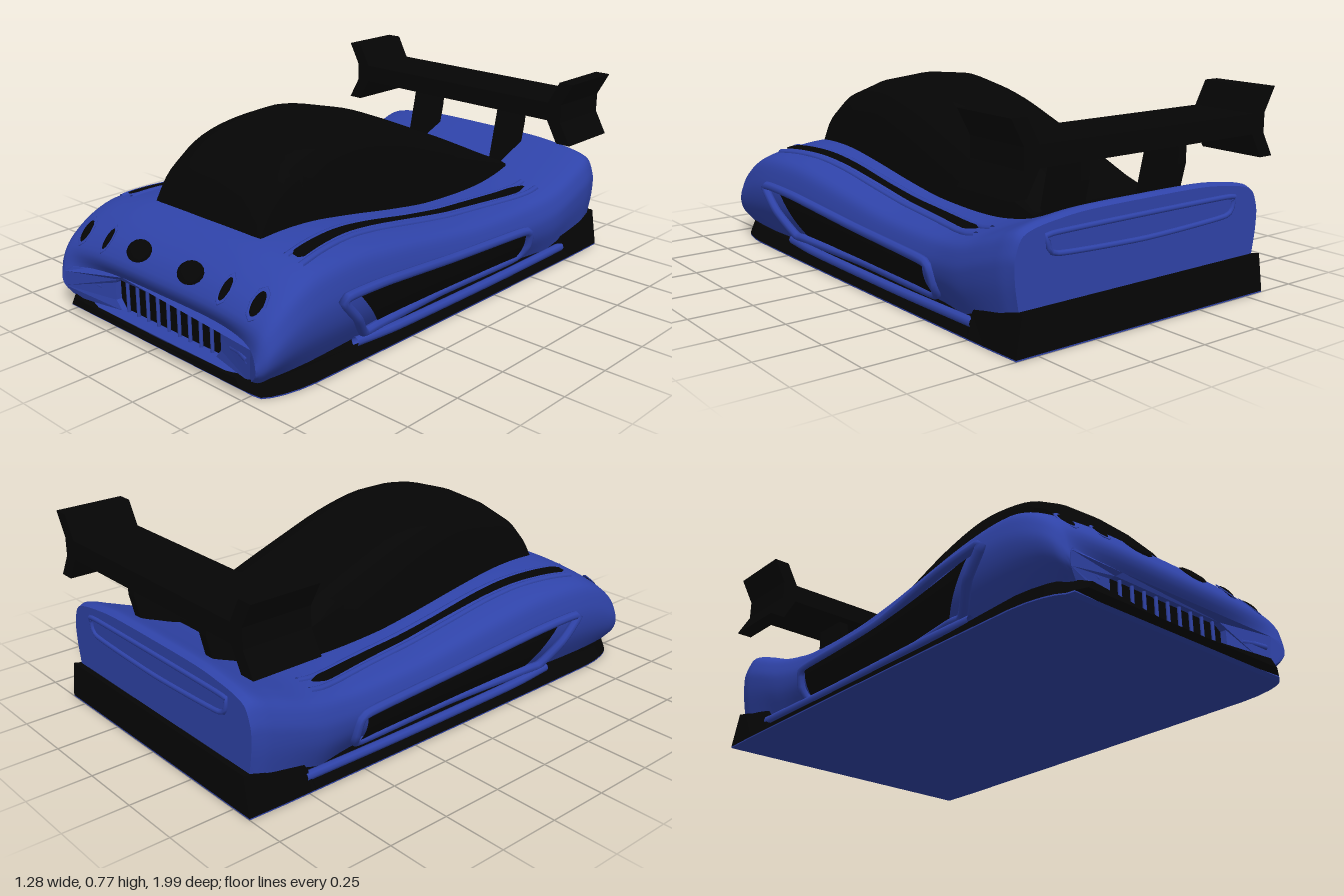
import * as THREE from 'three';
import { toCreasedNormals } from 'three/addons/utils/BufferGeometryUtils.js';

const blue = new THREE.MeshStandardMaterial({ color: 0x2f43a8, side: THREE.DoubleSide });
const black = new THREE.MeshStandardMaterial({ color: 0x050505, side: THREE.DoubleSide });

// Smooth function through [t, value] knots (t ascending)
function curve(k) {
  const slope = i => {
    const a = k[Math.max(i - 1, 0)], b = k[Math.min(i + 1, k.length - 1)];
    return (b[1] - a[1]) / (b[0] - a[0]);
  };
  return t => {
    t = Math.min(Math.max(t, k[0][0]), k[k.length - 1][0]);
    let i = 0;
    while (i < k.length - 2 && t > k[i + 1][0]) i++;
    const d = k[i + 1][0] - k[i][0], s = (t - k[i][0]) / d, q = s * s, c = q * s;
    return (2 * c - 3 * q + 1) * k[i][1] + (c - 2 * q + s) * d * slope(i)
      + (3 * q - 2 * c) * k[i + 1][1] + (c - q) * d * slope(i + 1);
  };
}

// The front curves inward at the middle, more so under the nose
const bow = (x, z, amount) => z - Math.max(0, z - 0.9) / 0.08 * Math.max(0, 1 - (x / 0.55) ** 4) * amount;
const noseBow = (x, y, z) => bow(x, z, 0.075 - 0.06 * THREE.MathUtils.smoothstep(y, 0.16, 0.26));
const skirtBow = (x, y, z) => bow(x, z, 0.025);

// Closed loft along z; half(z) gives [x, y] from top centre to bottom right
function loft(half, zs, { crease = 0.7, bend = (x, y, z) => z, frontCap = true } = {}) {
  const pos = [], idx = [];
  let n = 0;
  for (const z of zs) {
    const h = half(z), ring = [...h.slice(1).reverse().map(([x, y]) => [-x, y]), ...h];
    n = ring.length;
    ring.forEach(([x, y]) => pos.push(x, y, bend(x, y, z)));
  }
  for (let i = 0; i < zs.length - 1; i++) for (let j = 0; j < n; j++) {
    const a = i * n + j, b = i * n + (j + 1) % n;
    idx.push(a, a + n, b, b, a + n, b + n);
  }
  (frontCap ? [0, zs.length - 1] : [0]).forEach((row, end) => {
    const o = row * n, c = pos.length / 3, y = (pos[o * 3 + 1] + pos[(o + (n >> 1)) * 3 + 1]) / 2;
    pos.push(0, y, bend(0, y, zs[row]));
    for (let j = 0; j < n; j++) {
      const a = o + j, b = o + (j + 1) % n;
      end ? idx.push(c, b, a) : idx.push(c, a, b);
    }
  });
  const g = new THREE.BufferGeometry();
  g.setAttribute('position', new THREE.Float32BufferAttribute(pos, 3));
  g.setIndex(idx);
  return toCreasedNormals(g, crease);
}

// Surface patch from f(u, v) => [x, y, z]
function patch(f, nu, nv) {
  const g = new THREE.PlaneGeometry(1, 1, nu, nv), p = g.attributes.position;
  for (let i = 0; i < p.count; i++) p.setXYZ(i, ...f(p.getX(i) + 0.5, p.getY(i) + 0.5));
  g.computeVertexNormals();
  return g;
}
const spaced = (a, b, n) => Array.from({ length: n + 1 }, (_, i) => (a + b) / 2 - (b - a) / 2 * Math.cos(Math.PI * i / n));
const tube = (pts, r, seg, closed = false) => new THREE.TubeGeometry(
  new THREE.CatmullRomCurve3(pts.map(p => new THREE.Vector3(...p)), closed, 'catmullrom', 0.3), seg, r, 8, closed);
const points = list => list.map(p => new THREE.Vector2(...p));
const slab = (shape, depth) => new THREE.ExtrudeGeometry(shape, { depth, bevelEnabled: false });

// Body shape rules
const roof = curve([[-0.97, 0.44], [-0.94, 0.45], [-0.85, 0.415], [-0.7, 0.36], [-0.5, 0.33], [-0.2, 0.335], [0, 0.36],
  [0.3, 0.41], [0.5, 0.435], [0.7, 0.432], [0.8, 0.4], [0.89, 0.335], [0.95, 0.265], [0.98, 0.19]]);
const width = curve([[-0.97, 0.575], [-0.9, 0.59], [-0.7, 0.592], [-0.5, 0.572], [0, 0.568], [0.4, 0.583],
  [0.7, 0.6], [0.88, 0.6], [0.95, 0.585], [0.98, 0.55]]);
const floor = curve([[-0.97, 0.145], [-0.77, 0.095], [-0.65, 0.055], [-0.3, 0.04], [0.6, 0.035], [0.98, 0.035]]);
const profile = new THREE.SplineCurve(points([[0, 1], [0.25, 1], [0.5, 0.99], [0.67, 0.96], [0.83, 0.915], [0.94, 0.84],
  [0.985, 0.68], [1, 0.5], [0.97, 0.28], [0.87, 0]])).getPoints(36);
// The lower flank stands more upright towards the tail
const upright = curve([[-0.97, 0.75], [-0.75, 0.6], [-0.5, 0.1], [-0.3, 0], [0.98, 0]]);
const bodyHalf = z => profile.map(p => [
  (p.y < 0.5 ? p.x + (1 - p.x) * upright(z) : p.x) * width(z), floor(z) + p.y * (roof(z) - floor(z))]);

// Heights, side and front positions on the body surface
function topY(x, z) {
  const h = bodyHalf(z);
  for (let i = 1; i < h.length; i++) if (h[i][0] >= Math.abs(x)) {
    const [a, b] = [h[i - 1], h[i]];
    return a[1] + (b[1] - a[1]) * (Math.abs(x) - a[0]) / (b[0] - a[0]);
  }
  return 0;
}
function sideX(y, z) {
  const h = bodyHalf(z);
  const i = h.findIndex((p, k) => k > 0 && p[1] <= y);
  if (i < 0) return h[h.length - 1][0];
  const [a, b] = [h[i - 1], h[i]];
  return a[0] + (b[0] - a[0]) * (a[1] - y) / (a[1] - b[1] || 1);
}
function frontZ(x, y) {
  let z = 0.98;
  while (z > 0.5 && topY(x, z) < y) z -= 0.004;
  return z;
}

export function createModel() {
  const car = new THREE.Group();
  const add = (name, g, m) => {
    const mesh = new THREE.Mesh(g, m);
    mesh.name = name;
    car.add(mesh);
    return mesh;
  };

  // Main shell, and its front panel with the grille opening
  add('body', loft(bodyHalf, spaced(-0.97, 0.98, 70), { bend: noseBow, frontCap: false }), blue);
  const rim = bodyHalf(0.98);
  const panel = new THREE.Shape(points([...rim, ...rim.slice(1).reverse().map(([x, y]) => [-x, y])]));
  const opening = points([[-0.27, 0.045], [0.27, 0.045], [0.3, 0.08], [0.3, 0.15], [0.27, 0.17], [-0.27, 0.17],
    [-0.3, 0.15], [-0.3, 0.08]]);
  panel.holes.push(new THREE.Path(opening));
  const panelGeo = slab(panel, 0.1).translate(0, 0, 0.88), pp = panelGeo.attributes.position;
  for (let i = 0; i < pp.count; i++) pp.setZ(i, noseBow(pp.getX(i), pp.getY(i), pp.getZ(i)));
  panelGeo.computeVertexNormals();
  add('frontPanel', panelGeo, blue);

  // Grille with upright bars
  add('grille', slab(new THREE.Shape(opening), 0.005), black).position.z = 0.882;
  for (let i = -4; i <= 4; i++) {
    add('grilleBar', new THREE.CylinderGeometry(0.007, 0.007, 0.12, 8), blue).position.set(i * 0.06, 0.107, 0.9);
  }

  // Canopy
  const glassTop = curve([[-0.72, 0.39], [-0.6, 0.45], [-0.4, 0.545], [-0.2, 0.63], [0, 0.705], [0.2, 0.747],
    [0.35, 0.737], [0.5, 0.695], [0.6, 0.63], [0.66, 0.555], [0.715, 0.43]]);
  add('canopy', loft(z => {
    const b = roof(z) - 0.04, h = glassTop(z) - b;
    return [[0, 1], [0.15, 0.96], [0.255, 0.85], [0.29, 0.7], [0.297, 0]].map(([x, f]) => [x, b + f * h]);
  }, spaced(-0.72, 0.715, 40)), black);

  // Lower skirt with upswept splitter and rear diffuser, and the floor
  const skirtW = curve([[-1, 0.59], [-0.8, 0.595], [0.75, 0.595], [0.88, 0.575], [0.95, 0.54], [1, 0.48]]);
  const skirtZ = [-1, -0.99, -0.85, -0.75, -0.72, -0.4, 0, 0.4, 0.75, 0.82, 0.88, 0.92, 0.95, 0.97, 0.99, 1];
  const skirtH = z => z < -0.74 ? 0.1 + (-0.75 - z) * 0.22 : z > 0.7 ? 0.06 : 0.045;
  const low = z => Math.max(0, z - 0.95) * 0.5;
  add('skirt', loft(z => {
    const w = skirtW(z), h = skirtH(z);
    return [[0, z > 0.7 ? 0.035 : h], [w - 0.07, z > 0.7 ? 0.045 : h], [w - 0.025, h], [w, 0.005 + low(z)]];
  }, skirtZ, { crease: 0.4, bend: skirtBow }), black);
  add('floor', loft(z => [[0, 0.005 + low(z)], [skirtW(z), 0.005 + low(z)], [skirtW(z), low(z)]],
    skirtZ.slice(0, -2), { crease: 0.4, bend: skirtBow }), blue);

  for (const s of [1, -1]) {
    // Long vent on the upper flank with its rails
    const ventX = curve([[-0.62, 0.455], [-0.4, 0.415], [-0.2, 0.4], [0.2, 0.4], [0.4, 0.412], [0.71, 0.462]]);
    add('upperVent', patch((u, v) => {
      const z = -0.62 + 1.33 * u, w = (0.016 + 0.02 * Math.abs(u - 0.5)) * Math.min(1, 20 * u + 0.2, 30 * (1 - u) + 0.5);
      const x = ventX(z) + (2 * v - 1) * w;
      return [s * x, topY(x, z) + 0.009, z];
    }, 60, 4), black);
    for (const d of [-0.034, 0.036]) add('ventRail', tube(spaced(-0.66, 0.72, 16).map(z => {
      const x = ventX(z) + d;
      return [s * x, topY(x, z) - 0.003, z];
    }), 0.013, 60), blue);

    // Side intake and its frame
    add('sideIntake', patch((u, v) => {
      const zf = 0.4 + 0.15 * v, z = -0.47 + (zf + 0.47) * u;
      const y = (0.08 + 0.02 * u) * (1 - v) + (0.195 + 0.075 * u * u) * v;
      return [s * (sideX(y, z) + 0.012), y, z];
    }, 40, 8), black);
    const frame = [[0.64, 0.272], [0.58, 0.28], [0.4, 0.27], [0, 0.225], [-0.44, 0.205], [-0.5, 0.19], [-0.51, 0.12],
      [-0.46, 0.07], [0, 0.075], [0.4, 0.085], [0.48, 0.085], [0.56, 0.18]];
    add('intakeFrame', tube(frame.map(([z, y]) => [s * (sideX(y, z) + (z > 0.35 ? 0.024 : 0.006)), y, z]), 0.018, 120, true), blue);
    add('sideBlade', tube([[s * 0.56, 0.06, 0.52], [s * 0.572, 0.055, 0.3], [s * 0.57, 0.05, -0.3], [s * 0.57, 0.055, -0.75]],
      0.018, 30), blue);

    // Front lamps, ringed on the outer pairs
    for (const [x, y, rx, ry, ring] of [[0.48, 0.305, 0.025, 0.036, 1], [0.33, 0.315, 0.018, 0.034, 1], [0.145, 0.32, 0.066, 0.034, 0]]) {
      const lamp = new THREE.Group();
      lamp.name = 'frontLamp';
      lamp.position.set(s * x, y, frontZ(x, y) + 0.002);
      lamp.rotation.set(-0.75, s * (ring ? 0.15 : 0), 0);
      lamp.scale.set(rx, ry / 0.75, 0.01);
      const lens = new THREE.Mesh(new THREE.SphereGeometry(1, 8, 8), black);
      lens.name = 'lens';
      lamp.add(lens);
      if (ring) {
        const bezel = new THREE.Mesh(new THREE.TorusGeometry(1.15, 0.25, 8, 8), blue);
        bezel.name = 'bezel';
        lamp.add(bezel);
      }
      car.add(lamp);
    }

    // Slot lip under the lamps
    add('frontSlot', tube([[0.37, 0.12], [0.42, 0.125], [0.48, 0.12]].map(([x, y]) => [s * x, y, noseBow(x, y, 0.98)]), 0.012, 12), blue);

    // Wing strut, leaning back
    const strut = new THREE.Shape(points([[0.7, 0.35], [0.87, 0.35], [0.91, 0.52], [0.91, 0.62], [0.76, 0.62]]));
    add('wingStrut', slab(strut, 0.04).translate(0, 0, -0.02).rotateY(Math.PI / 2), black).position.x = s * 0.23;
  }

  // Raised surround on the tail
  add('tailFrame', tube([[-0.44, 0.365, -0.97], [-0.4, 0.385, -0.97], [0.4, 0.385, -0.97], [0.44, 0.365, -0.97],
    [0.4, 0.315, -0.97], [0, 0.3, -0.97], [-0.4, 0.315, -0.97]], 0.01, 80, true), blue);

  // Rear wing with forked ends
  const end = [[0.5, 0.605], [0.55, 0.515], [0.614, 0.515], [0.563, 0.605], [0.563, 0.68], [0.614, 0.772], [0.55, 0.772], [0.5, 0.68]];
  const outline = points([...end, ...end.map(([x, y]) => [-x, y]).reverse()]);
  add('rearWing', slab(new THREE.Shape(outline), 0.275), black).position.set(-0.008, 0, -0.987);

  return car;
}
